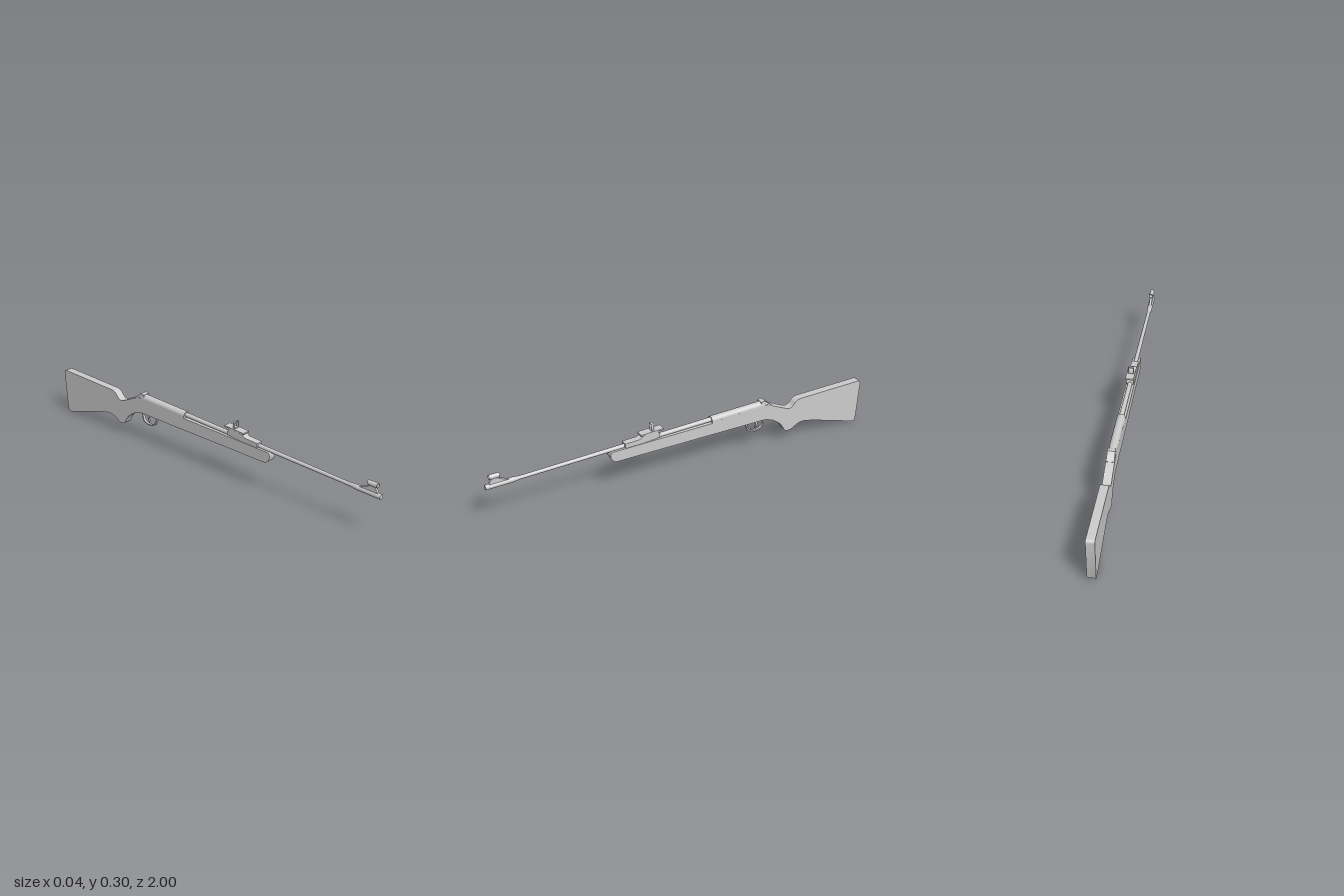
import * as THREE from 'three';
import { toCreasedNormals } from 'three/addons/utils/BufferGeometryUtils.js';

const material = new THREE.MeshStandardMaterial({ color: 0xcccccc });

function add(group, name, geometry) {
  const mesh = new THREE.Mesh(geometry, material);
  mesh.name = name;
  group.add(mesh);
  return mesh;
}

// Side profile in [z, y], extruded across x and centred
function sideExtrude(shape, width) {
  const g = new THREE.ExtrudeGeometry(shape, { depth: width, bevelEnabled: false, curveSegments: 8 });
  g.translate(0, 0, -width / 2).rotateY(-Math.PI / 2);
  return toCreasedNormals(g, 0.6);
}

const polygon = pts => new THREE.Shape(pts.map(p => new THREE.Vector2(...p)));

// Round rod along z between two [z, y] points
function rod(a, b, ra, rb, sides = 24) {
  const length = Math.hypot(b[0] - a[0], b[1] - a[1]);
  const g = new THREE.CylinderGeometry(rb, ra, length, sides);
  g.rotateX(Math.PI / 2 - Math.atan2(b[1] - a[1], b[0] - a[0]));
  return g.translate(0, (a[1] + b[1]) / 2, (a[0] + b[0]) / 2);
}

export function createModel() {
  const rifle = new THREE.Group();
  rifle.name = 'rifle';

  // Stock: rounded nose, grip and butt in one profile
  const stock = new THREE.Shape();
  stock.moveTo(0.385, 0.213);
  stock.quadraticCurveTo(0.398, 0.212, 0.397, 0.195);
  stock.quadraticCurveTo(0.393, 0.157, 0.36, 0.157);
  stock.lineTo(-0.435, 0.157);
  stock.bezierCurveTo(-0.48, 0.15, -0.53, 0.115, -0.545, 0.082);
  stock.quadraticCurveTo(-0.555, 0.058, -0.572, 0.058);
  stock.quadraticCurveTo(-0.59, 0.056, -0.605, 0.067);
  stock.quadraticCurveTo(-0.64, 0.09, -0.668, 0.087);
  stock.lineTo(-0.72, 0.076);
  stock.lineTo(-0.962, 0.003);
  stock.quadraticCurveTo(-0.982, -0.003, -0.986, 0.018);
  stock.lineTo(-1, 0.215);
  stock.quadraticCurveTo(-1, 0.229, -0.985, 0.229);
  stock.lineTo(-0.645, 0.221);
  stock.quadraticCurveTo(-0.617, 0.22, -0.603, 0.198);
  stock.quadraticCurveTo(-0.585, 0.172, -0.555, 0.188);
  stock.lineTo(-0.45, 0.237);
  stock.lineTo(-0.14, 0.226);
  stock.lineTo(-0.14, 0.219);
  add(rifle, 'stock', sideExtrude(stock, 0.04));

  // Barrel and muzzle
  add(rifle, 'barrel', rod([-0.15, 0.232], [0.9, 0.204], 0.0115, 0.0085));
  add(rifle, 'muzzle', rod([0.87, 0.205], [1, 0.203], 0.0125, 0.0125));
  add(rifle, 'muzzleTaper', rod([0.83, 0.206], [0.87, 0.205], 0.0085, 0.0125));

  // Receiver and its rear cap
  add(rifle, 'receiver', rod([-0.435, 0.236], [-0.14, 0.228], 0.02, 0.02, 32));
  add(rifle, 'receiverCap', sideExtrude(polygon([
    [-0.415, 0.23], [-0.415, 0.257], [-0.425, 0.26], [-0.438, 0.259],
    [-0.45, 0.248], [-0.475, 0.228], [-0.47, 0.22],
  ]), 0.036));

  // Front sight: ramp, hood and post
  add(rifle, 'frontSightRamp', sideExtrude(polygon([
    [0.985, 0.208], [0.98, 0.222], [0.968, 0.24], [0.94, 0.24],
    [0.925, 0.23], [0.9, 0.22], [0.865, 0.21],
  ]), 0.012));
  const hood = new THREE.LatheGeometry([
    [0.0095, -0.025], [0.0115, -0.025], [0.0115, 0.025], [0.0095, 0.025], [0.0095, -0.025],
  ].map(p => new THREE.Vector2(...p)), 24);
  hood.rotateX(Math.PI / 2).translate(0, 0.25, 0.955);
  add(rifle, 'frontSightHood', toCreasedNormals(hood, 0.6));
  add(rifle, 'frontSightPost', new THREE.BoxGeometry(0.003, 0.012, 0.006).translate(0, 0.245, 0.955));

  // Rear sight: block, ramp, plate and upright frame
  add(rifle, 'rearSightBlock', sideExtrude(polygon([
    [0.32, 0.208], [0.32, 0.236], [0.245, 0.239], [0.225, 0.252],
    [0.15, 0.256], [0.14, 0.24], [0.14, 0.222], [0.3, 0.208],
  ]), 0.034));
  add(rifle, 'rearSightPlate', new THREE.BoxGeometry(0.04, 0.007, 0.118).rotateX(0.04).translate(0, 0.26, 0.18));
  const frame = new THREE.Shape();
  frame.moveTo(-0.014, 0.26);
  frame.lineTo(0.014, 0.26);
  frame.lineTo(0.014, 0.294);
  frame.quadraticCurveTo(0.014, 0.299, 0.009, 0.299);
  frame.lineTo(-0.009, 0.299);
  frame.quadraticCurveTo(-0.014, 0.299, -0.014, 0.294);
  frame.closePath();
  frame.holes.push(new THREE.Path([
    [-0.011, 0.267], [-0.011, 0.295], [0.011, 0.295], [0.011, 0.267],
  ].map(p => new THREE.Vector2(...p))));
  const leaf = new THREE.ExtrudeGeometry(frame, { depth: 0.012, bevelEnabled: false, curveSegments: 4 });
  add(rifle, 'rearSightFrame', leaf.translate(0, 0, 0.169));

  // Trigger guard: a closed loop with a cut-out, rooted in the stock
  const guard = new THREE.Shape();
  guard.moveTo(-0.332, 0.16);
  guard.lineTo(-0.34, 0.135);
  guard.bezierCurveTo(-0.348, 0.105, -0.365, 0.098, -0.39, 0.098);
  guard.bezierCurveTo(-0.425, 0.098, -0.436, 0.108, -0.44, 0.14);
  guard.lineTo(-0.447, 0.16);
  const opening = new THREE.Path();
  opening.moveTo(-0.342, 0.152);
  opening.lineTo(-0.434, 0.152);
  opening.lineTo(-0.433, 0.138);
  opening.bezierCurveTo(-0.43, 0.112, -0.42, 0.104, -0.39, 0.104);
  opening.bezierCurveTo(-0.368, 0.104, -0.354, 0.11, -0.347, 0.136);
  opening.closePath();
  guard.holes.push(opening);
  add(rifle, 'triggerGuard', sideExtrude(guard, 0.013));

  // Trigger
  const trigger = new THREE.Shape();
  trigger.moveTo(-0.38, 0.16);
  trigger.quadraticCurveTo(-0.404, 0.135, -0.388, 0.11);
  trigger.lineTo(-0.393, 0.11);
  trigger.quadraticCurveTo(-0.414, 0.135, -0.394, 0.16);
  add(rifle, 'trigger', sideExtrude(trigger, 0.008));

  return rifle;
}
